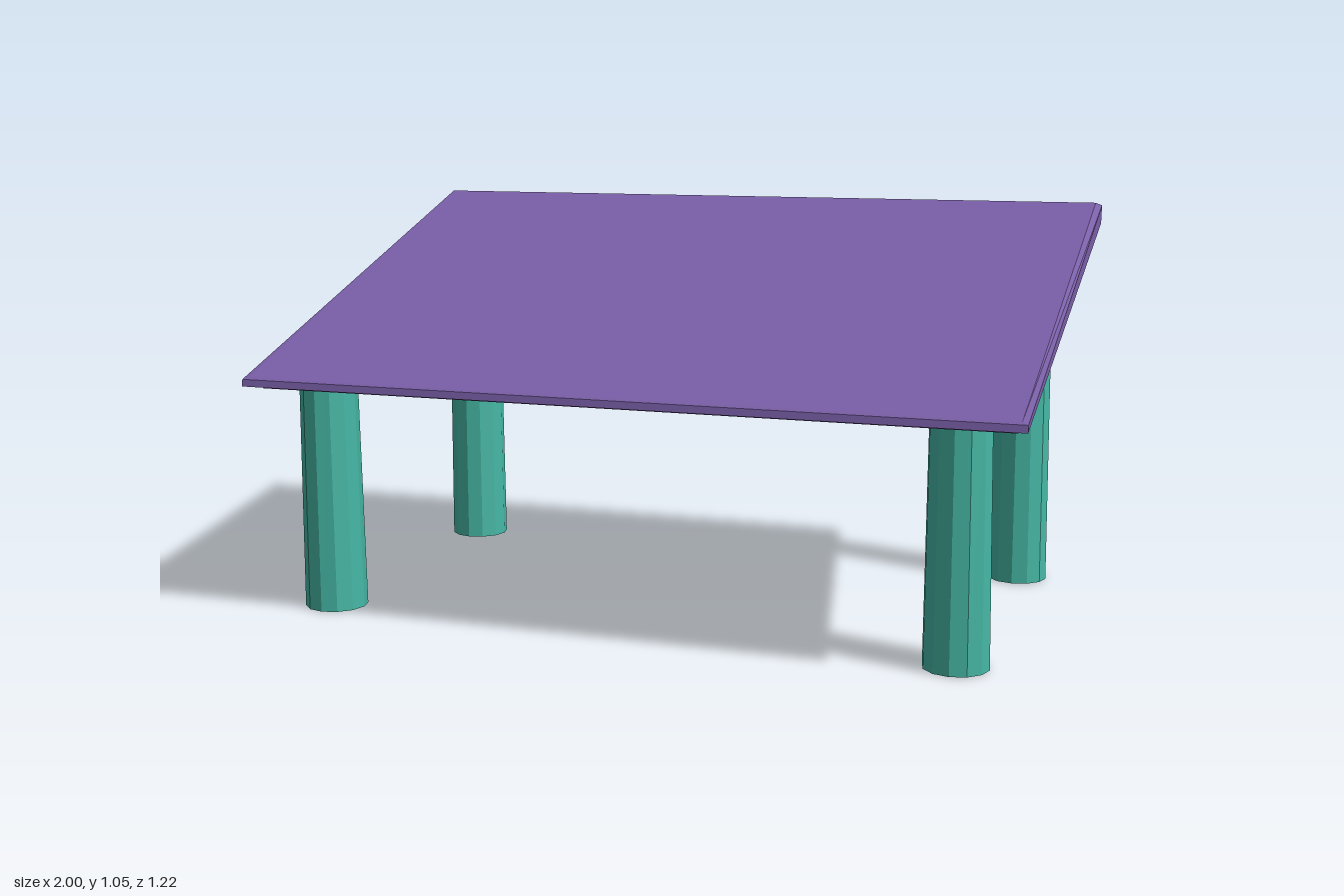
import * as THREE from 'three';

const wood = new THREE.MeshStandardMaterial({ color: 0x7a5fa8, flatShading: true, side: THREE.DoubleSide });
const legPaint = new THREE.MeshStandardMaterial({ color: 0x46b8a6, flatShading: true, side: THREE.DoubleSide });

// Stack of rectangular rings joined into a closed slab.
// Each ring: [half width, front z, front y, back z, back y], listed from top to bottom.
function slabGeometry(rings) {
  const position = [];
  const index = [];
  for (const [hx, fz, fy, bz, by] of rings) {
    position.push(-hx, fy, fz, hx, fy, fz, hx, by, bz, -hx, by, bz);
  }
  for (let r = 0; r < rings.length - 1; r++) {
    for (let i = 0; i < 4; i++) {
      const j = (i + 1) % 4;
      const a = r * 4 + i, b = r * 4 + j, c = a + 4, d = b + 4;
      index.push(a, c, d, a, d, b);
    }
  }
  const e = (rings.length - 1) * 4;
  index.push(0, 1, 2, 0, 2, 3, e, e + 2, e + 1, e, e + 3, e + 2);
  const geometry = new THREE.BufferGeometry();
  geometry.setAttribute('position', new THREE.Float32BufferAttribute(position, 3));
  geometry.setIndex(index);
  const flat = geometry.toNonIndexed();
  flat.computeVertexNormals();
  return flat;
}

// Open tube leg, slightly tapered and leaning a little forward.
function makeLeg(name, x, z, height) {
  const geometry = new THREE.CylinderGeometry(0.075, 0.082, height, 12, 1, true);
  geometry.translate(0, height / 2, 0);
  const p = geometry.attributes.position;
  for (let i = 0; i < p.count; i++) {
    p.setZ(i, p.getZ(i) + 0.007 * p.getY(i) / height);
  }
  geometry.computeVertexNormals();
  const leg = new THREE.Mesh(geometry, legPaint);
  leg.name = name;
  leg.position.set(x, 0, z);
  return leg;
}

export function createModel() {
  const group = new THREE.Group();
  group.name = 'slopedTable';

  // Sloping top: bevelled board with a narrower board beneath, thicker at the back
  const top = new THREE.Mesh(slabGeometry([
    [0.985, 0.6, 0.636, -0.587, 1.052],
    [1.0, 0.607, 0.631, -0.607, 1.044],
    [1.0, 0.61, 0.613, -0.6, 0.995],
    [0.97, 0.57, 0.614, -0.577, 0.988],
    [0.97, 0.558, 0.602, -0.571, 0.942],
  ]), wood);
  top.name = 'slopedTop';
  group.add(top);

  // Short front legs and tall back legs
  for (const [side, x] of [['Right', -0.86], ['Left', 0.815]]) {
    group.add(makeLeg('front' + side + 'Leg', x, 0.412, 0.646));
    group.add(makeLeg('back' + side + 'Leg', x, -0.472, 0.945));
  }
  return group;
}
